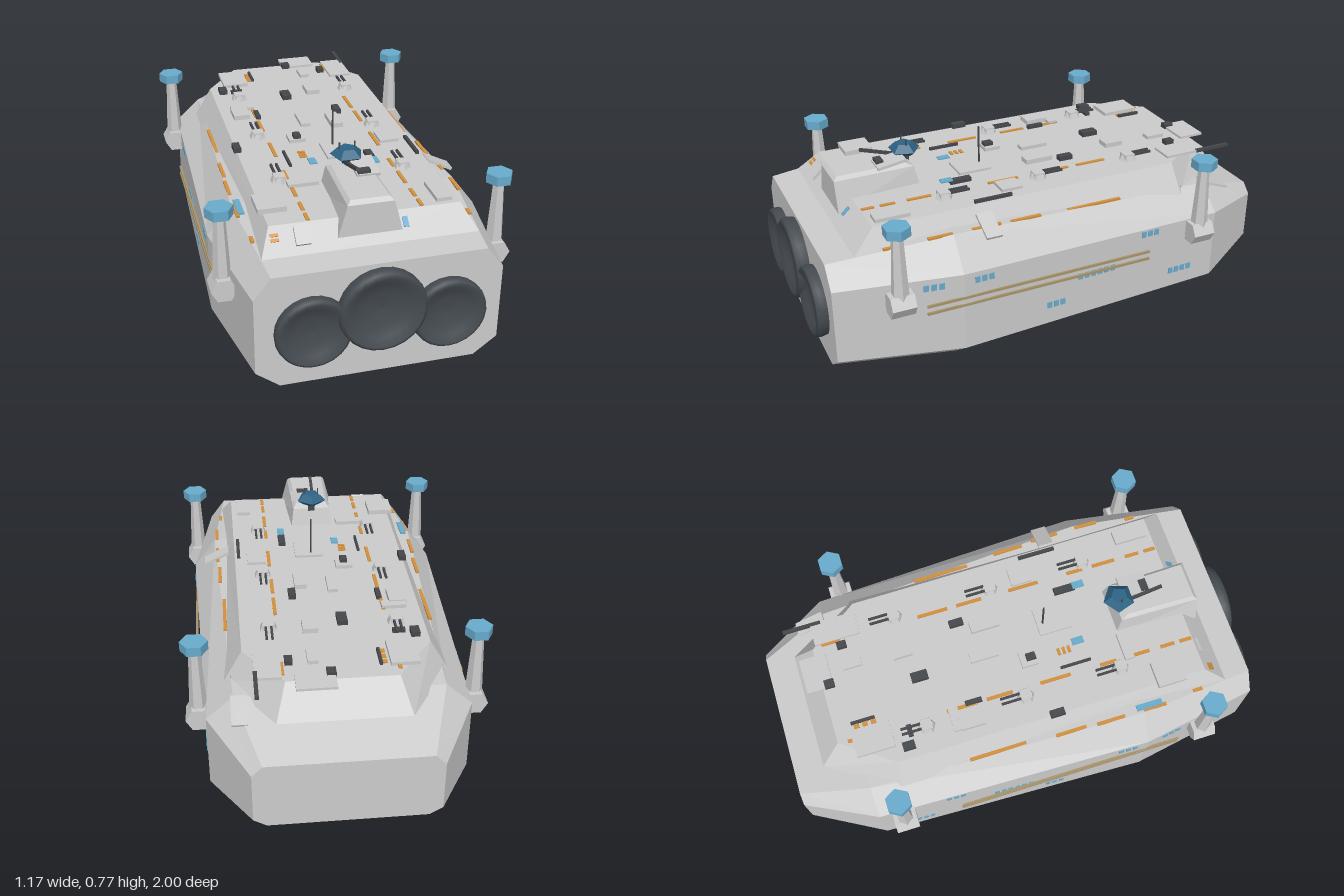
import * as THREE from 'three';

const mat = (name, color) => {
  const m = new THREE.MeshStandardMaterial({ color, flatShading: true });
  m.name = name;
  return m;
};

// Flat-faced solid through rings, listed counterclockwise as seen from the first ring
function loft(rings) {
  const pos = [];
  const tri = (...pts) => pts.forEach(p => pos.push(...p));
  const n = rings[0].length;
  for (let i = 0; i + 1 < rings.length; i++) {
    const f = rings[i], k = rings[i + 1];
    for (let j = 0; j < n; j++) {
      const q = (j + 1) % n;
      tri(f[j], k[j], f[q]);
      tri(f[q], k[j], k[q]);
    }
  }
  const first = rings[0], last = rings[rings.length - 1];
  for (let j = 1; j < n - 1; j++) {
    tri(first[0], first[j], first[j + 1]);
    tri(last[0], last[j + 1], last[j]);
  }
  const g = new THREE.BufferGeometry();
  g.setAttribute('position', new THREE.Float32BufferAttribute(pos, 3));
  g.computeVertexNormals();
  return g;
}

// Hull stations: z, side half-width, top half-width, bottom half-width, four heights
const STATIONS = [
  [0.94, 0.465, 0.40, 0.375, 0.045, 0.115, 0.425, 0.51],
  [0.45, 0.545, 0.45, 0.435, 0, 0.085, 0.42, 0.545],
  [-0.71, 0.505, 0.40, 0.38, 0.02, 0.10, 0.40, 0.495],
  [-1, 0.35, 0.31, 0.30, 0.12, 0.15, 0.355, 0.395],
];

// Interpolated station value at z
function hullAt(z, k) {
  let i = 0;
  while (i < 2 && z < STATIONS[i + 1][0]) i++;
  const a = STATIONS[i], b = STATIONS[i + 1];
  return a[k] + (b[k] - a[k]) * (a[0] - z) / (a[0] - b[0]);
}

export function createModel() {
  const root = new THREE.Group();
  root.name = 'spaceship';
  const hull = mat('hullGrey', 0xcbcbcb);
  const dark = mat('gearDark', 0x44474b);
  const engine = mat('engineDark', 0x454b51);
  engine.flatShading = false;
  engine.side = THREE.DoubleSide;
  const blue = mat('lightBlue', 0x68abcd);
  const deep = mat('deepBlue', 0x2c6384);
  const orange = mat('markingOrange', 0xd28f3c);
  const tan = mat('railTan', 0xa8946a);

  const add = (name, geo, m, x = 0, y = 0, z = 0, parent = root) => {
    const o = new THREE.Mesh(geo, m);
    o.name = name;
    o.position.set(x, y, z);
    parent.add(o);
    return o;
  };
  const box = (name, m, w, h, d, x, y, z, parent) =>
    add(name, new THREE.BoxGeometry(w, h, d), m, x, y, z, parent);

  // Hull, raised deck and bridge
  add('hull', loft(STATIONS.map(([z, w, t, b, y0, y1, y2, y3]) => [
    [b, y0, z], [w, y1, z], [w, y2, z], [t, y3, z],
    [-t, y3, z], [-w, y2, z], [-w, y1, z], [-b, y0, z]])), hull);
  const mirrorRing = (y, pts) => [
    ...pts.map(([x, z]) => [x, y, z]),
    ...pts.slice().reverse().map(([x, z]) => [-x, y, z])];
  add('raisedDeck', loft([
    mirrorRing(0.6, [[0.365, 0.74], [0.36, -0.57], [0.21, -0.78]]),
    mirrorRing(0.48, [[0.43, 0.87], [0.43, -0.58], [0.25, -0.87]])]), hull);
  add('bridge', loft([
    mirrorRing(0.69, [[0.075, 0.785], [0.068, 0.50]]),
    mirrorRing(0.675, [[0.088, 0.80], [0.082, 0.47]]),
    mirrorRing(0.55, [[0.122, 0.80], [0.10, 0.44]])]), hull);

  // Dished engines on the front face
  for (const [x, y, r, h] of [[0, 0.332, 0.167, 0.06], [0.255, 0.275, 0.144, 0.05], [-0.255, 0.275, 0.144, 0.05]]) {
    const profile = [[0.001, 0.3], [0.4, 0.4], [0.7, 0.65], [0.88, 1], [0.97, 0.85], [1, 0.5], [0.97, 0]]
      .map(([a, b]) => new THREE.Vector2(a * r, b * h));
    add('engine', new THREE.LatheGeometry(profile, 24), engine, x, y, 0.938).rotation.x = Math.PI / 2;
  }

  // Four corner pylons with blue caps
  for (const s of [1, -1]) for (const z of [0.70, -0.61]) {
    const p = new THREE.Group();
    p.name = 'pylon';
    p.position.set(s * 0.533, 0, z);
    root.add(p);
    const foot = add('pylonFoot', new THREE.CylinderGeometry(0.05, 0.05, 0.095, 6), hull, 0, 0.355, 0, p);
    foot.rotation.set(Math.PI / 2, Math.PI / 2, 0);
    add('pylonPost', new THREE.CylinderGeometry(0.022, 0.035, 0.27, 6), hull, 0, 0.515, 0, p).rotation.y = Math.PI / 2;
    add('pylonCap', new THREE.CylinderGeometry(0.053, 0.053, 0.038, 6), blue, 0, 0.665, 0, p).rotation.y = Math.PI / 2;
  }

  // Side rails and window rows: z start, count, y
  const rows = [[0.595, 3, 0.385], [0.395, 3, 0.385], [-0.355, 3, 0.385],
    [-0.06, 6, 0.27], [0.08, 3, 0.175], [-0.50, 4, 0.175]];
  for (const s of [1, -1]) {
    for (const y of [0.285, 0.317]) box('sideRail', tan, 0.008, 0.01, 0.97, s * 0.544, y, 0.115);
    for (const [z0, n, y] of rows) for (let i = 0; i < n; i++) {
      const z = z0 - i * 0.03;
      box('window', blue, 0.006, 0.026, 0.02, s * (hullAt(z, 1) + 0.001), y, z);
    }
  }

  // Twin-barrel deck turrets
  for (const x of [-0.25, 0.25]) for (const z of [-0.42, 0, 0.41]) {
    add('turretBase', new THREE.CylinderGeometry(0.028, 0.038, 0.025, 6), hull, x, 0.61, z);
    box('turretHead', hull, 0.045, 0.018, 0.045, x, 0.618, z);
    for (const d of [-0.011, 0.011]) box('turretBarrel', dark, 0.009, 0.009, 0.09, x + d, 0.62, z - 0.06);
  }

  // Command gun behind the bridge
  const gun = new THREE.Group();
  gun.name = 'commandGun';
  gun.position.set(0, 0.695, 0.48);
  root.add(gun);
  add('gunDome', new THREE.CylinderGeometry(0.035, 0.066, 0.028, 5), deep, 0, 0.038, 0, gun).rotation.y = Math.PI;
  add('gunUnderside', new THREE.CylinderGeometry(0.066, 0.04, 0.02, 5), deep, 0, 0.014, 0, gun).rotation.y = Math.PI;
  box('gunMount', dark, 0.03, 0.04, 0.03, 0, -0.01, 0, gun);
  box('gunBarrel', dark, 0.012, 0.012, 0.19, -0.012, 0.02, 0.09, gun).rotation.x = -0.3;
  box('gunSight', dark, 0.05, 0.02, 0.03, 0.03, 0.005, 0.12, gun);
  for (const s of [1, -1]) box('gunAerial', dark, 0.005, 0.07, 0.005, s * 0.03, 0.04, 0, gun);
  box('bridgeRoofPlate', hull, 0.09, 0.012, 0.12, 0.045, 0.70, 0.56).rotation.x = 0.15;
  box('mast', dark, 0.006, 0.17, 0.006, 0.03, 0.685, 0.165);

  // Deck plates: x, z, width, depth, height
  for (const [x, z, w, d, h] of [
    [-0.24, -0.64, 0.11, 0.16, 0.015], [0.10, -0.79, 0.15, 0.11, 0.01], [0.10, -0.64, 0.04, 0.08, 0.015],
    [0.27, -0.67, 0.10, 0.19, 0.01], [0.09, -0.43, 0.06, 0.08, 0.02], [-0.28, -0.24, 0.07, 0.10, 0.02],
    [-0.03, -0.11, 0.04, 0.12, 0.015], [0.10, -0.07, 0.05, 0.12, 0.02], [-0.10, 0.06, 0.07, 0.07, 0.015],
    [0.04, 0.21, 0.12, 0.14, 0.01], [0.27, 0.14, 0.08, 0.09, 0.012], [-0.33, 0.59, 0.11, 0.12, 0.02],
    [0.31, 0.65, 0.06, 0.14, 0.015], [-0.17, 0.46, 0.12, 0.04, 0.015], [-0.26, -0.30, 0.10, 0.04, 0.015],
  ]) box('deckPlate', hull, w, h, d, x, 0.6 + h / 2, z);

  // Dark deck machinery
  for (const [x, z, w, d, h] of [
    [0.04, -0.75, 0.035, 0.04, 0.02], [0.19, -0.66, 0.03, 0.04, 0.02], [-0.31, -0.51, 0.035, 0.05, 0.02],
    [-0.04, -0.39, 0.04, 0.07, 0.02], [0.14, -0.18, 0.03, 0.06, 0.02], [-0.36, 0.10, 0.03, 0.06, 0.02],
    [-0.10, 0.07, 0.03, 0.04, 0.03], [0.316, -0.80, 0.015, 0.16, 0.012], [0.346, 0.24, 0.014, 0.16, 0.012],
    [-0.18, 0.24, 0.01, 0.13, 0.012], [0.15, 0.30, 0.03, 0.09, 0.015], [-0.15, -0.66, 0.012, 0.10, 0.012],
    [-0.21, -0.21, 0.02, 0.07, 0.015], [-0.25, -0.49, 0.05, 0.02, 0.015],
  ]) box('deckMachinery', dark, w, h, d, x, 0.6 + h / 2, z);

  // Orange guide dashes on the deck and along its foot
  for (const s of [1, -1]) {
    for (const [z, d] of [[-0.70, 0.08], [-0.26, 0.13], [-0.10, 0.11], [0.14, 0.13], [0.37, 0.07], [0.50, 0.10], [0.63, 0.06], [0.71, 0.05]])
      box('deckDash', orange, 0.014, 0.006, d, s * 0.217, 0.602, z);
    for (const [z, d] of [[-0.58, 0.03], [-0.17, 0.24], [0.14, 0.13], [0.31, 0.12], [0.50, 0.10], [0.70, 0.04]]) {
      const outer = hullAt(z, 2);
      box('edgeDash', orange, 0.014, 0.008, d, s * (outer - 0.006), hullAt(z, 7) + 0.002, z);
    }
  }
  for (let i = 0; i < 3; i++) {
    box('deckMark', orange, 0.03, 0.006, 0.012, -0.11, 0.602, 0.19 + i * 0.022);
    box('deckMark', orange, 0.02, 0.006, 0.022, -0.165, 0.602, -0.69 + i * 0.035);
  }
  box('deckLight', blue, 0.03, 0.006, 0.05, -0.085, 0.602, 0.28);
  box('deckLight', blue, 0.03, 0.006, 0.05, 0.15, 0.618, 0.36);
  box('edgeLight', blue, 0.025, 0.008, 0.11, -0.425, 0.547, 0.48);

  // Details on the sloped deck front
  const front = (name, m, w, h, d, x, y) => {
    box(name, m, w, h, d, x, y, 0.74 + (0.6 - y) * 1.083).rotation.x = 0.745;
  };
  front('frontHatch', hull, 0.055, 0.025, 0.07, -0.25, 0.565);
  front('frontMark', orange, 0.03, 0.008, 0.012, -0.35, 0.575);
  front('frontMark', orange, 0.03, 0.008, 0.012, -0.35, 0.562);
  front('frontLight', blue, 0.02, 0.008, 0.04, 0.14, 0.567);

  // Tilted plates over the hull shoulders
  box('shoulderPlate', hull, 0.12, 0.012, 0.065, 0.44, 0.545, 0.30).rotation.z = -0.45;
  box('rearPlate', hull, 0.06, 0.01, 0.13, 0.38, 0.475, -0.77).rotation.x = -0.35;
  return root;
}
